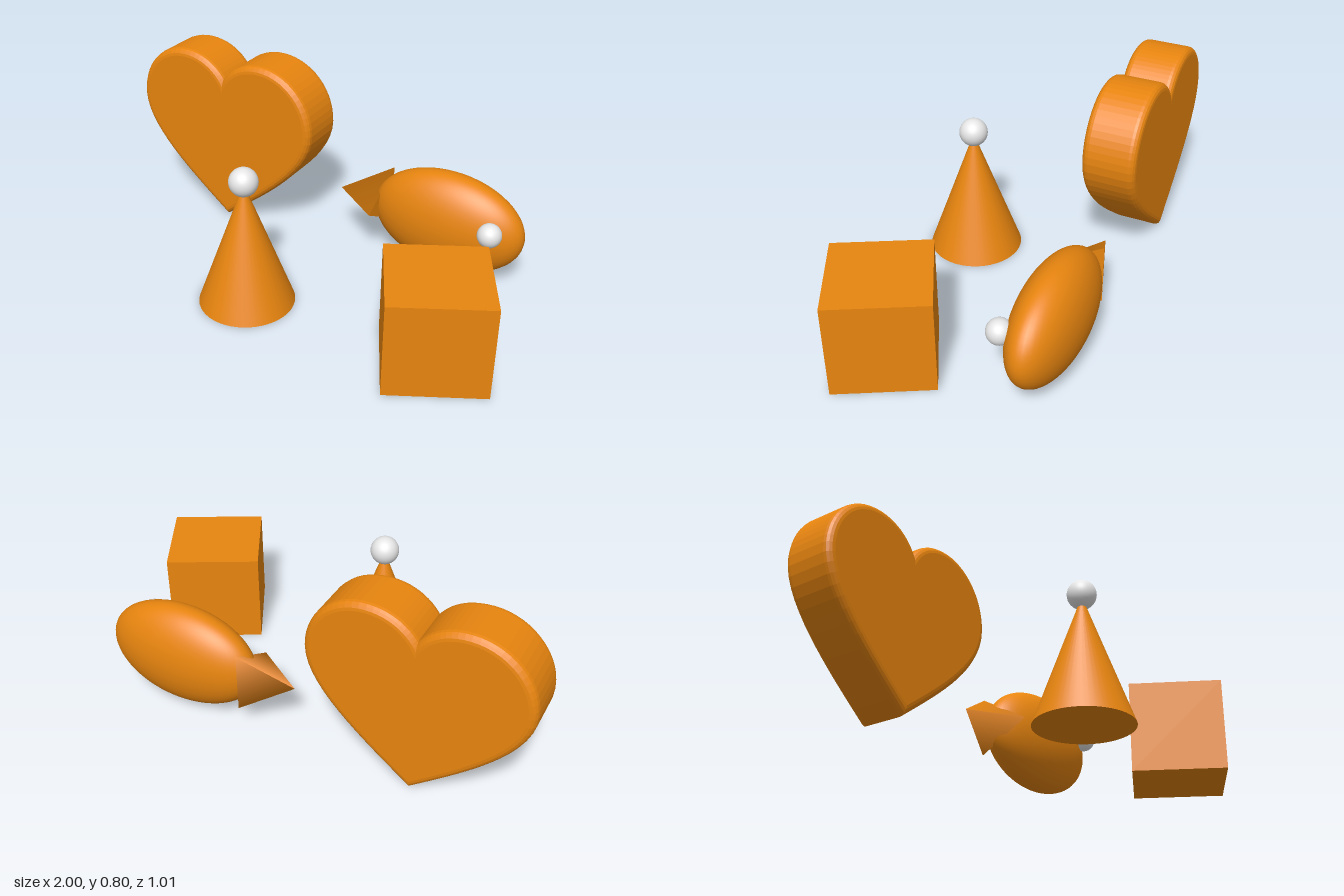
import * as THREE from 'three';

export function createModel() {
  const model = new THREE.Group();
  const orange = new THREE.MeshStandardMaterial({ color: 0xe8850f });
  orange.name = 'orange';
  const white = new THREE.MeshStandardMaterial({ color: 0xe8e8e8 });
  white.name = 'white';

  const add = (name, geometry, material, x, y, z) => {
    const mesh = new THREE.Mesh(geometry, material);
    mesh.name = name;
    mesh.position.set(x, y, z);
    model.add(mesh);
    return mesh;
  };

  // Bevelled heart
  const shape = new THREE.Shape();
  shape.moveTo(0, 0.635);
  shape.bezierCurveTo(0.02, 0.69, 0.08, 0.765, 0.195, 0.765);
  shape.bezierCurveTo(0.32, 0.765, 0.42, 0.66, 0.42, 0.53);
  shape.bezierCurveTo(0.42, 0.37, 0.2, 0.2, 0, 0.045);
  shape.bezierCurveTo(-0.2, 0.2, -0.42, 0.37, -0.42, 0.53);
  shape.bezierCurveTo(-0.42, 0.66, -0.32, 0.765, -0.195, 0.765);
  shape.bezierCurveTo(-0.08, 0.765, -0.02, 0.69, 0, 0.635);
  const heart = new THREE.ExtrudeGeometry(shape, {
    depth: 0.17, bevelSize: 0.03, bevelThickness: 0.03, bevelSegments: 4, curveSegments: 14,
  });
  add('heart', heart, orange, -0.55, 0, -0.415);

  // Cone with a ball on its tip
  add('cone', new THREE.ConeGeometry(0.2, 0.55, 48), orange, -0.1, 0.275, 0.27);
  add('coneBall', new THREE.SphereGeometry(0.06, 32, 20), white, -0.1, 0.557, 0.27);

  // Turned cube
  add('cube', new THREE.BoxGeometry(0.4, 0.4, 0.4), orange, 0.73, 0.2, 0.233).rotation.y = 0.5;

  // Fish: flattened body, three-sided tail, one eye
  const body = new THREE.SphereGeometry(1, 48, 32).scale(0.34, 0.225, 0.133);
  add('fishBody', body, orange, 0.5, 0.243, -0.37);
  add('fishTail', new THREE.ConeGeometry(0.15, 0.22, 3), orange, 0.09, 0.243, -0.37).rotation.z = Math.PI / 2;
  add('fishEye', new THREE.SphereGeometry(0.051, 24, 16), white, 0.73, 0.303, -0.256);

  return model;
}
